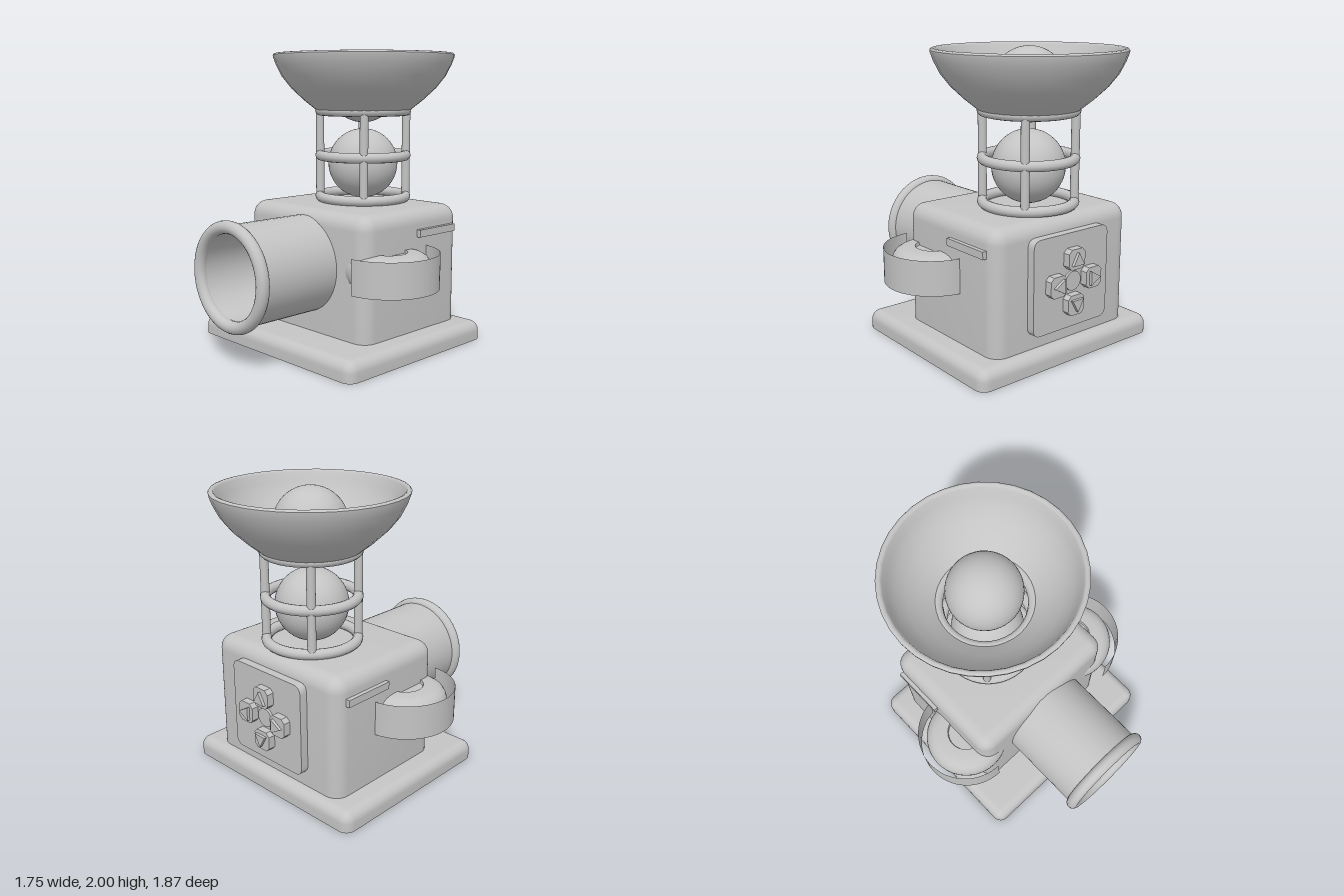
import * as THREE from 'three';
import { toCreasedNormals } from 'three/addons/utils/BufferGeometryUtils.js';
import { RoundedBoxGeometry } from 'three/addons/geometries/RoundedBoxGeometry.js';

const grey = new THREE.MeshStandardMaterial({ color: 0xc4c4c4, side: THREE.DoubleSide });
grey.name = 'grey';

function add(parent, name, geometry, x = 0, y = 0, z = 0) {
  const mesh = new THREE.Mesh(geometry, grey);
  mesh.name = name;
  mesh.position.set(x, y, z);
  parent.add(mesh);
  return mesh;
}

// Hollow cover, open below: upper half of a rounded box, lower half dropped
function cover(w, h, d, r) {
  const p = new RoundedBoxGeometry(w, h * 2, d, 5, r).attributes.position;
  const kept = [];
  for (let i = 0; i < p.count; i += 3) {
    const corners = [i, i + 1, i + 2];
    if (corners.every((c) => p.getY(c) < 1e-6)) continue;
    for (const c of corners) kept.push(p.getX(c), Math.max(0, p.getY(c)), p.getZ(c));
  }
  const g = new THREE.BufferGeometry();
  g.setAttribute('position', new THREE.Float32BufferAttribute(kept, 3));
  return toCreasedNormals(g, 0.6);
}

// Rectangular plate; one curve segment turns the round corners into chamfers
function plate(w, h, depth, r, curveSegments) {
  const a = w / 2, b = h / 2;
  const s = new THREE.Shape();
  s.moveTo(-a + r, -b);
  s.lineTo(a - r, -b);
  s.quadraticCurveTo(a, -b, a, -b + r);
  s.lineTo(a, b - r);
  s.quadraticCurveTo(a, b, a - r, b);
  s.lineTo(-a + r, b);
  s.quadraticCurveTo(-a, b, -a, b - r);
  s.lineTo(-a, -b + r);
  s.quadraticCurveTo(-a, -b, -a + r, -b);
  return new THREE.ExtrudeGeometry(s, { depth, bevelEnabled: false, curveSegments });
}

function lathe(points, sides) {
  const g = new THREE.LatheGeometry(points.map(([x, y]) => new THREE.Vector2(x, y)), sides);
  return toCreasedNormals(g, 0.75);
}

export function createModel() {
  const model = new THREE.Group();
  model.name = 'machine';

  // Base and housing
  add(model, 'base', cover(1.485, 0.13, 1.325, 0.07), 0, 0, -0.083);
  add(model, 'body', cover(1.16, 0.825, 0.95, 0.1), 0, 0.13, -0.19);

  // Hollow front barrel with a rolled lip
  const barrel = lathe([[0.28, 0], [0.328, 0], [0.328, 0.62], [0.28, 0.62], [0.28, 0]], 48);
  barrel.rotateX(Math.PI / 2);
  add(model, 'barrel', barrel, 0, 0.583, 0.27);
  add(model, 'barrelLip', new THREE.TorusGeometry(0.319, 0.042, 16, 48), 0, 0.583, 0.892);

  // Side wheels with a shallow hub, half-round guards and rails
  const wheelHalf = [
    [0.29, 0], [0.287, 0.03], [0.278, 0.058], [0.26, 0.085], [0.23, 0.103],
    [0.19, 0.112], [0.13, 0.115], [0.125, 0.095], [0, 0.095],
  ];
  const wheelProfile = [...wheelHalf.slice(1).reverse().map(([x, y]) => [x, -y]), ...wheelHalf];
  for (const side of [1, -1]) {
    add(model, 'sideWheel', lathe(wheelProfile, 40), side * 0.535, 0.588, 0.025);
    const guard = new THREE.CylinderGeometry(0.34, 0.34, 0.235, 32, 1, true, side > 0 ? 0 : Math.PI, Math.PI);
    add(model, 'wheelGuard', guard, side * 0.535, 0.588, 0.025);
    add(model, 'sideRail', new THREE.BoxGeometry(0.05, 0.05, 0.37), side * 0.583, 0.798, -0.399);
  }

  // Rear control panel, built facing +z and turned round
  const panel = new THREE.Group();
  panel.name = 'controlPanel';
  panel.position.set(0, 0.546, -0.662);
  panel.rotation.y = Math.PI;
  model.add(panel);
  add(panel, 'panelPlate', toCreasedNormals(plate(0.64, 0.635, 0.06, 0.06, 6), 0.6));
  const hub = new THREE.CylinderGeometry(0.065, 0.065, 0.02, 24);
  hub.rotateX(Math.PI / 2);
  add(panel, 'panelHub', hub, 0, 0, 0.068);
  for (let i = 0; i < 4; i++) {
    const button = new THREE.Group();
    button.name = 'arrowButton';
    button.rotation.z = i * Math.PI / 2;
    panel.add(button);
    add(button, 'buttonCap', plate(0.14, 0.135, 0.05, 0.026, 1), 0, 0.153, 0.06);
    const tri = new THREE.Shape();
    tri.moveTo(-0.048, -0.038);
    tri.lineTo(0.048, -0.038);
    tri.lineTo(0, 0.045);
    add(button, 'buttonArrow', new THREE.ExtrudeGeometry(tri, { depth: 0.02, bevelEnabled: false }), 0, 0.153, 0.11);
  }

  // Cage, globes and bowl share one upright axis
  const tower = new THREE.Group();
  tower.name = 'tower';
  tower.position.z = -0.297;
  model.add(tower);
  for (const y of [0.987, 1.28, 1.595]) {
    const ring = new THREE.TorusGeometry(0.305, 0.035, 12, 40);
    ring.rotateX(Math.PI / 2);
    add(tower, 'cageRing', ring, 0, y, 0);
  }
  for (let i = 0; i < 4; i++) {
    const a = Math.PI / 4 + i * Math.PI / 2;
    add(tower, 'cagePost', new THREE.CylinderGeometry(0.029, 0.029, 0.62, 16),
      0.305 * Math.cos(a), 1.287, 0.305 * Math.sin(a));
  }
  add(tower, 'lowerGlobe', new THREE.SphereGeometry(0.246, 40, 24), 0, 1.222, 0);
  add(tower, 'upperGlobe', new THREE.SphereGeometry(0.246, 40, 24), 0, 1.757, 0);

  // Open-bottomed bowl: outer wall up, rounded rim, inner wall down
  add(tower, 'bowl', lathe([
    [0.325, 1.592], [0.42, 1.668], [0.51, 1.752], [0.575, 1.835], [0.615, 1.915],
    [0.633, 1.965], [0.635, 1.98], [0.628, 1.989], [0.617, 1.992], [0.605, 1.988],
    [0.597, 1.975], [0.578, 1.92], [0.542, 1.85], [0.482, 1.772], [0.398, 1.692],
    [0.295, 1.61], [0.325, 1.592],
  ], 36));

  return model;
}
